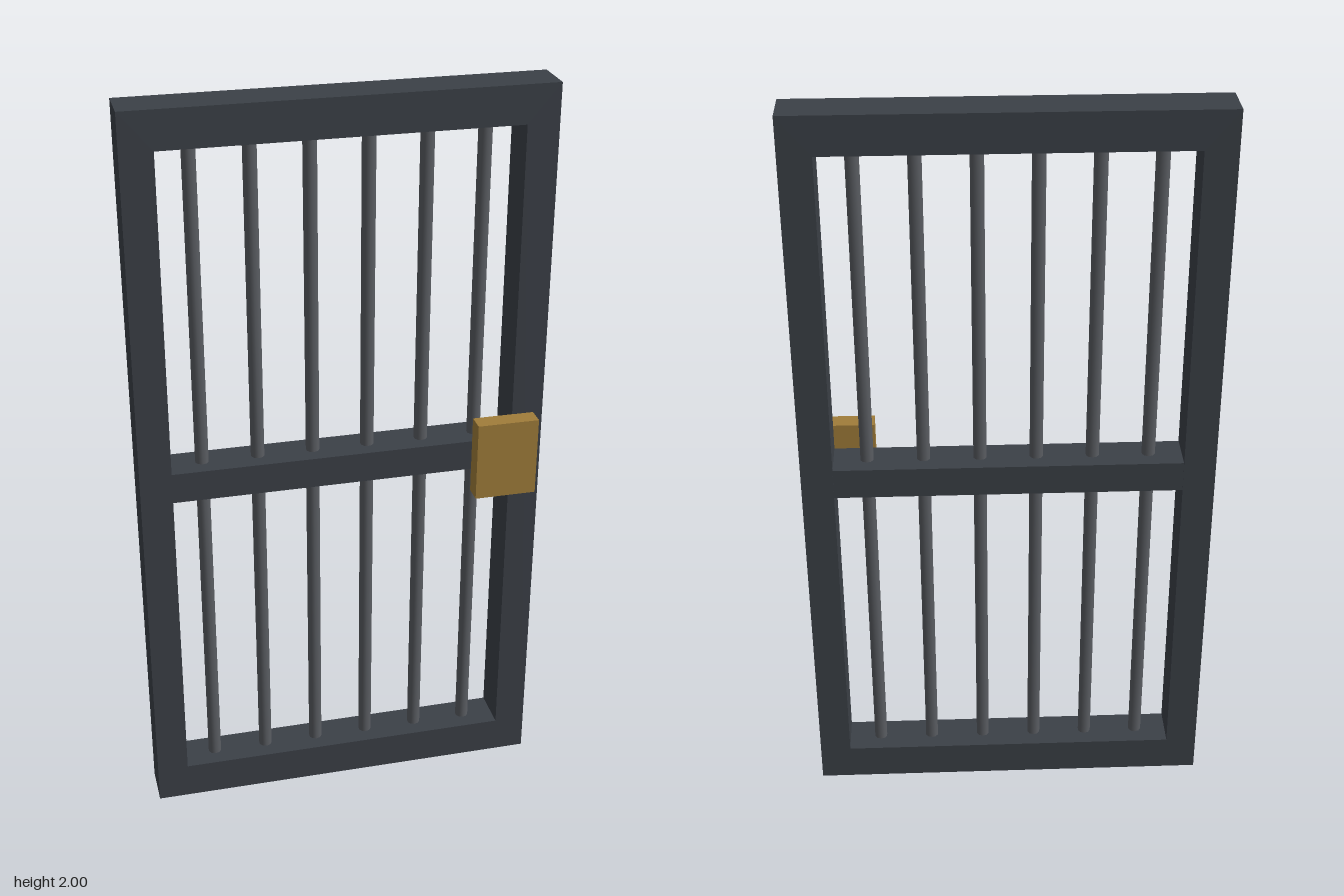
import * as THREE from 'three';

export function createModel() {
  const group = new THREE.Group();
  const material = (name, color) => {
    const m = new THREE.MeshStandardMaterial({ color });
    m.name = name;
    return m;
  };
  const darkIron = material('dark iron', 0x3b4047);
  const barSteel = material('bar steel', 0x5a5d62);
  const brass = material('brass', 0xa07d3a);

  const add = (name, geometry, mat, x, y, z) => {
    const mesh = new THREE.Mesh(geometry, mat);
    mesh.name = name;
    mesh.position.set(x, y, z);
    group.add(mesh);
  };

  const rectangle = (path, halfWidth, bottom, top) => {
    path.moveTo(-halfWidth, bottom);
    path.lineTo(halfWidth, bottom);
    path.lineTo(halfWidth, top);
    path.lineTo(-halfWidth, top);
    path.closePath();
    return path;
  };

  // Outer frame with one rectangular opening
  const depth = 0.117, back = -0.083, middle = back + depth / 2;
  const outline = rectangle(new THREE.Shape(), 0.542, 0, 2);
  outline.holes.push(rectangle(new THREE.Path(), 0.458, 0.1, 1.9));
  add('frame', new THREE.ExtrudeGeometry(outline, { depth, bevelEnabled: false }), darkIron, 0, 0, back);

  // Middle rail across the opening
  add('crossRail', new THREE.BoxGeometry(0.918, 0.083, 0.114), darkIron, 0, 1, middle);

  // Six upright round bars
  const barGeometry = new THREE.CylinderGeometry(0.018, 0.018, 1.82, 10);
  for (let i = 0; i < 6; i++) {
    add(`bar${i + 1}`, barGeometry, barSteel, (i - 2.5) * 0.148, 1, middle);
  }

  // Lock box on the front of the left stile
  add('lockBox', new THREE.BoxGeometry(0.167, 0.217, 0.05), brass, 0.433, 1.002, 0.0585);

  return group;
}
